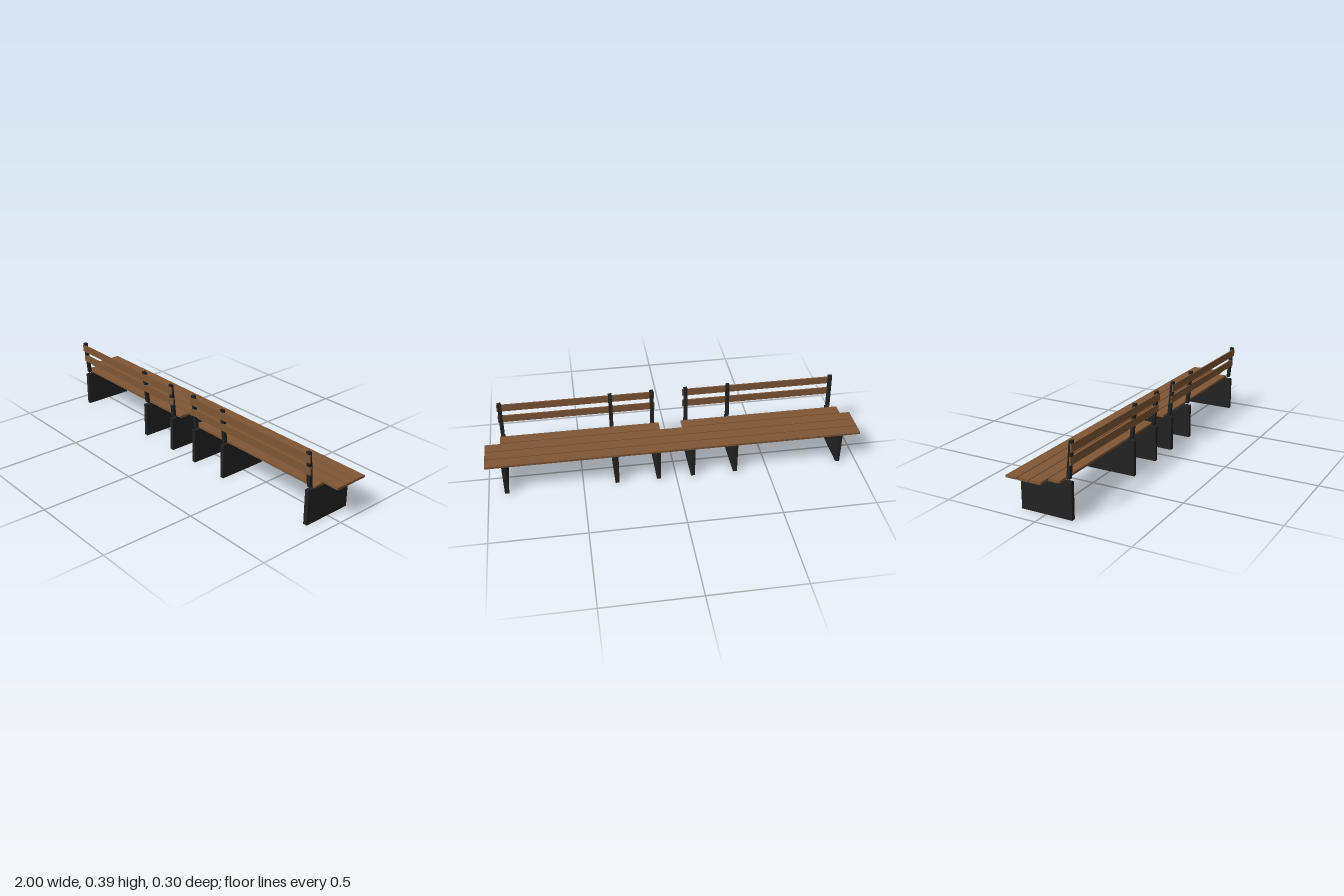
import * as THREE from 'three';

export function createModel() {
  const bench = new THREE.Group();
  bench.name = 'bench';
  const wood = new THREE.MeshStandardMaterial({ color: 0x7f5635 });
  wood.name = 'brown wood';
  const metal = new THREE.MeshStandardMaterial({ color: 0x232323 });
  metal.name = 'black metal';

  // Box given by its limits on each axis
  function slab(name, material, [x0, x1], [y0, y1], [z0, z1]) {
    const mesh = new THREE.Mesh(new THREE.BoxGeometry(x1 - x0, y1 - y0, z1 - z0), material);
    mesh.position.set((x0 + x1) / 2, (y0 + y1) / 2, (z0 + z1) / 2);
    mesh.name = name;
    bench.add(mesh);
    return mesh;
  }

  // Three full-length seat planks
  const seatY = [0.188, 0.2];
  for (const z of [-0.151, -0.0865, -0.022]) {
    slab('seatPlank', wood, [-1, 1], seatY, [z, z + 0.0605]);
  }
  // Short seat planks beside the backrests, with a gap in the middle
  slab('shortSeatPlank', wood, [-0.945, -0.06], seatY, [0.0425, 0.103]);
  slab('shortSeatPlank', wood, [0.063, 0.92], seatY, [0.0425, 0.103]);

  // Solid panel legs, each with a leaning backrest post above
  const half = 0.011;
  for (const x of [-0.9, -0.323, -0.091, 0.095, 0.319, 0.905]) {
    slab('legPanel', metal, [x - half, x + half], [0, 0.188], [-0.135, 0.142]);
    const post = slab('backPost', metal, [x - 0.01, x + 0.01], [0.2, 0.387], [0.116, 0.133]);
    // Shear the post so its ends stay level
    const shear = 0.018 / 0.187;
    const p = post.geometry.attributes.position;
    for (let i = 0; i < p.count; i++) p.setZ(i, p.getZ(i) + (p.getY(i) + 0.0935) * shear);
    post.geometry.computeVertexNormals();
  }

  // Two backrest rails on each side
  for (const span of [[-0.914, -0.074], [0.08, 0.921]]) {
    slab('upperBackRail', wood, span, [0.334, 0.374], [0.1445, 0.152]);
    slab('lowerBackRail', wood, span, [0.27, 0.31], [0.136, 0.1435]);
  }
  return bench;
}
